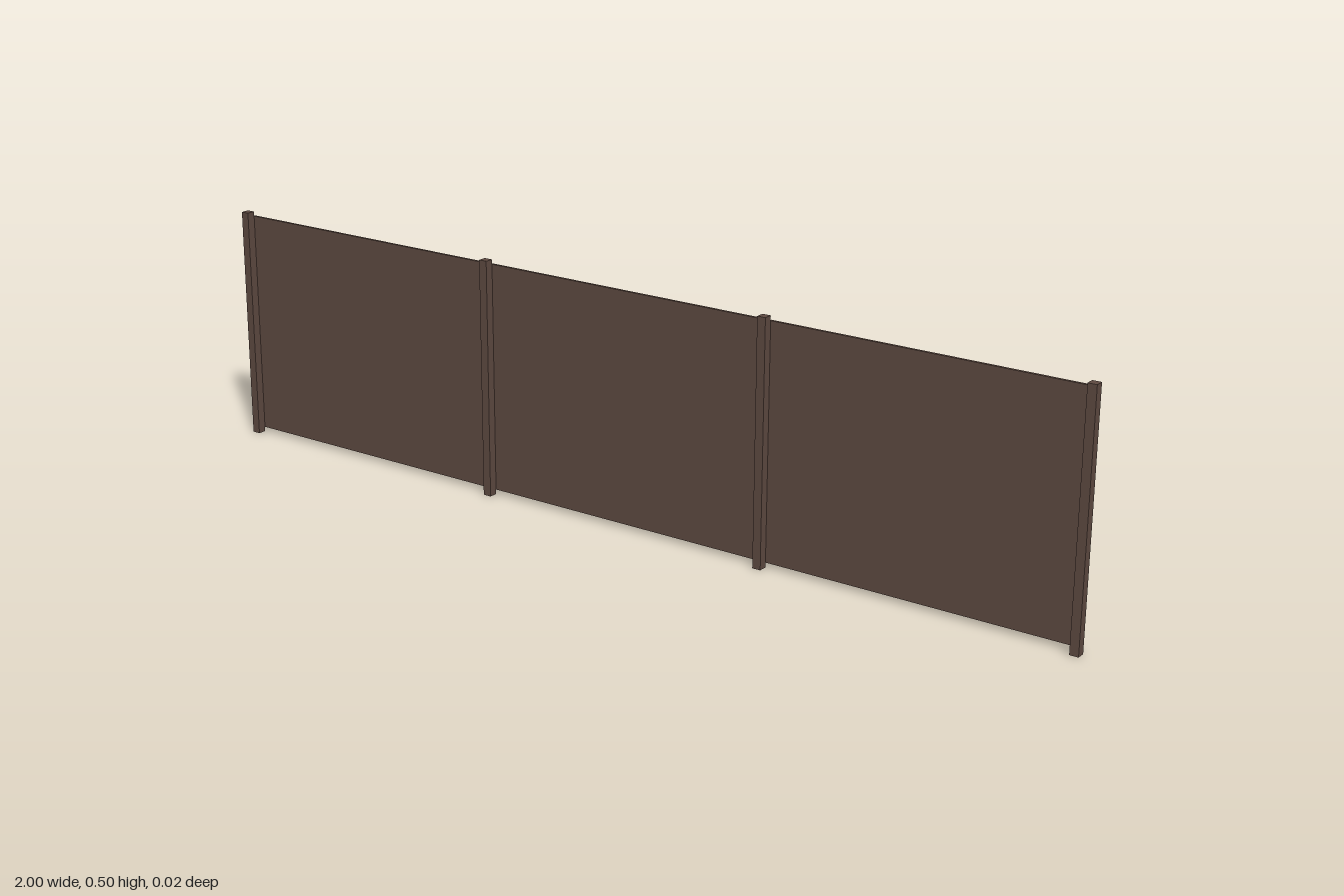
import * as THREE from 'three';

export function createModel() {
  const group = new THREE.Group();
  const brown = new THREE.MeshStandardMaterial({ color: 0x5d4940 });
  brown.name = 'brown';

  const addBox = (name, size, position) => {
    const mesh = new THREE.Mesh(new THREE.BoxGeometry(...size), brown);
    mesh.name = name;
    mesh.position.set(...position);
    group.add(mesh);
  };

  const bays = 3;
  const postWidth = 0.018;
  const spacing = (2 - postWidth) / bays;
  const firstPost = -1 + postWidth / 2;

  // Square posts, slightly taller than the panels
  for (let i = 0; i <= bays; i++) {
    addBox(`post${i + 1}`, [postWidth, 0.5, 0.018], [firstPost + i * spacing, 0.25, 0.003]);
  }

  // Thin panels fixed behind the posts, with a narrow gap at each post
  for (let i = 0; i < bays; i++) {
    addBox(`panel${i + 1}`, [spacing - 0.012, 0.48, 0.006], [firstPost + (i + 0.5) * spacing, 0.25, -0.009]);
  }
  return group;
}
